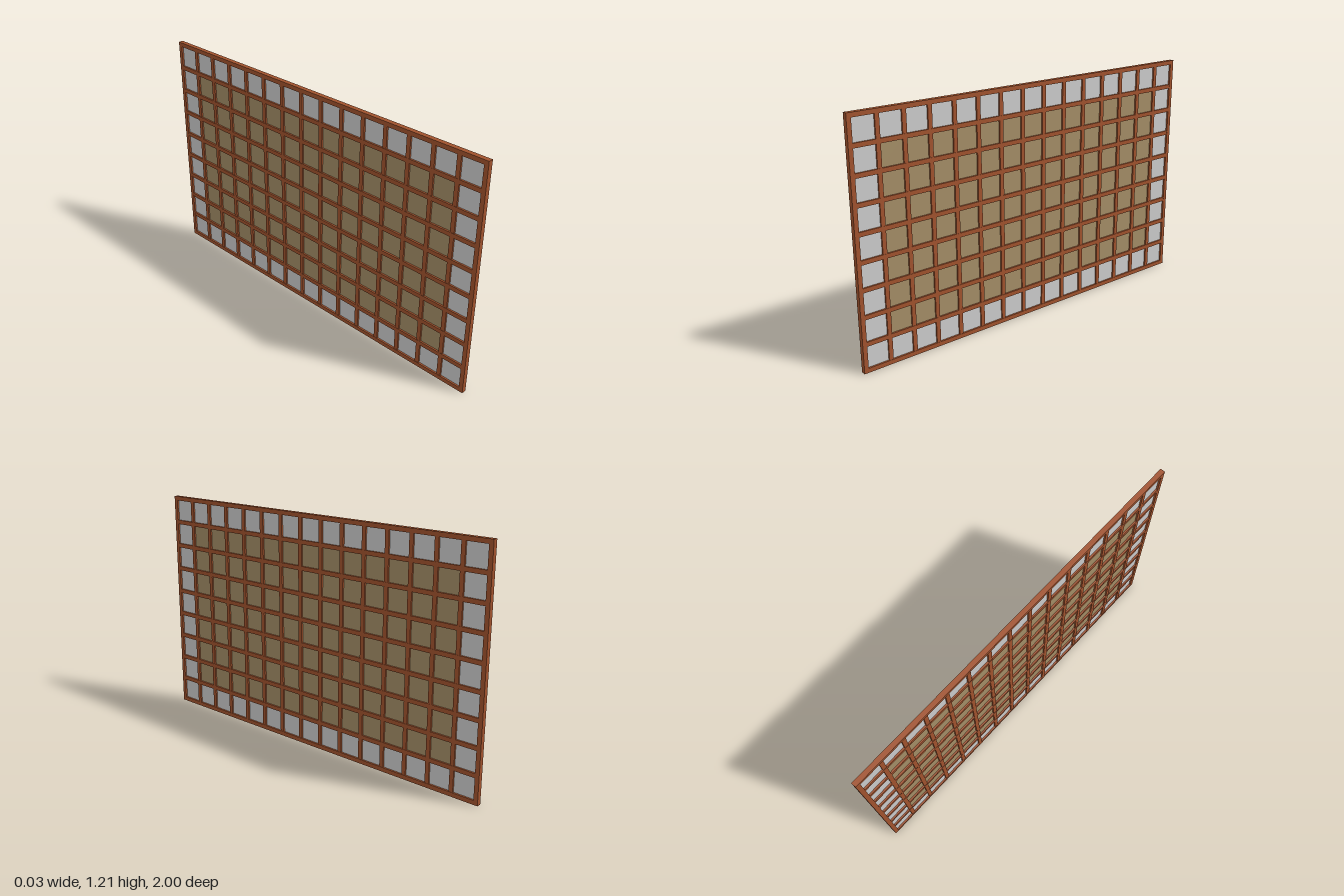
import * as THREE from 'three';

export function createModel() {
  const model = new THREE.Group();
  const wood = new THREE.MeshStandardMaterial({ color: 0xa0522d });
  const tan = new THREE.MeshStandardMaterial({ color: 0xa38d66 });
  const grey = new THREE.MeshStandardMaterial({ color: 0xcccccc });

  const cols = 15, rows = 9, bar = 0.022, depth = 0.025;
  const pitch = (2 - bar) / cols;
  const height = rows * pitch + bar;
  const paneDepth = 0.006;

  function box(name, parent, material, sx, sy, sz, y, z) {
    const mesh = new THREE.Mesh(new THREE.BoxGeometry(sx, sy, sz), material);
    mesh.name = name;
    mesh.position.set(0, y, z);
    parent.add(mesh);
  }
  function group(name) {
    const g = new THREE.Group();
    g.name = name;
    model.add(g);
    return g;
  }

  // Outer frame: full-length rails with posts between them
  const frame = group('frame');
  box('bottomRail', frame, wood, depth, bar, 2, bar / 2, 0);
  box('topRail', frame, wood, depth, bar, 2, height - bar / 2, 0);
  for (const s of [1, -1]) {
    box(s > 0 ? 'frontPost' : 'backPost', frame, wood, depth, height - 2 * bar, bar, height / 2, s * (1 - bar / 2));
  }

  // Lattice: horizontal bars stand slightly proud of the vertical ones
  const lattice = group('lattice');
  for (let r = 1; r < rows; r++) {
    box('horizontalBar', lattice, wood, depth - 0.001, bar, 2 - 2 * bar, r * pitch + bar / 2, 0);
  }
  for (let c = 1; c < cols; c++) {
    box('verticalBar', lattice, wood, depth - 0.003, height - 2 * bar, bar, height / 2, -1 + c * pitch + bar / 2);
  }

  // Panes: a grey border around the tan field
  const panes = group('panes');
  for (let r = 0; r < rows; r++) {
    for (let c = 0; c < cols; c++) {
      const border = r === 0 || c === 0 || r === rows - 1 || c === cols - 1;
      box(border ? 'borderPane' : 'innerPane', panes, border ? grey : tan, paneDepth,
        pitch - bar, pitch - bar, (r + 0.5) * pitch + bar / 2, -1 + (c + 0.5) * pitch + bar / 2);
    }
  }
  return model;
}
